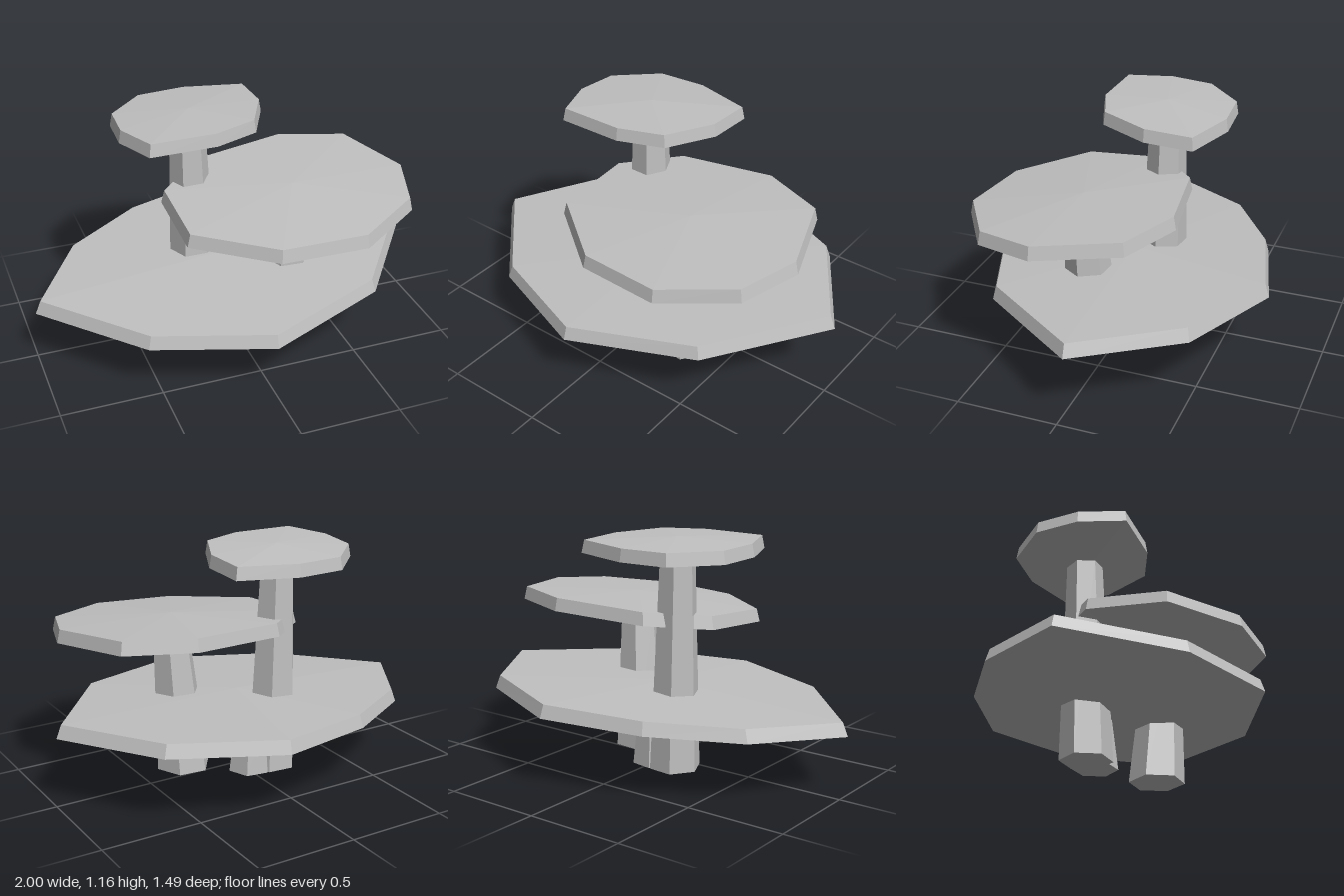
import * as THREE from 'three';

const stone = new THREE.MeshStandardMaterial({ color: 0xc0c0c0, flatShading: true });
stone.name = 'pale grey stone';

function fromPositions(pos) {
  const g = new THREE.BufferGeometry();
  g.setAttribute('position', new THREE.Float32BufferAttribute(pos, 3));
  g.computeVertexNormals();
  return g;
}

// Faceted slab: a tilted rim, a shallow cone below and a faint crown above.
// outline runs clockwise seen from above; rimY gives the lower rim height.
function slab(name, outline, { rimY, rim, inset, center, lowY, highY }) {
  const [cx, cz] = center;
  const low = outline.map(([x, z]) => [x, rimY(x, z), z]);
  const high = outline.map(([x, z]) => [
    cx + (x - cx) * inset, rimY(x, z) + rim, cz + (z - cz) * inset,
  ]);
  const bottom = [cx, lowY, cz], top = [cx, highY, cz];
  const pos = [];
  const tri = (a, b, c) => pos.push(...a, ...b, ...c);
  low.forEach((a, i) => {
    const j = (i + 1) % low.length;
    tri(bottom, a, low[j]);
    tri(low[j], a, high[i]);
    tri(low[j], high[i], high[j]);
    tri(top, high[j], high[i]);
  });
  const mesh = new THREE.Mesh(fromPositions(pos), stone);
  mesh.name = name;
  return mesh;
}

// Tapered, leaning six-sided post; from and to are [x, y, z, radius].
function post(name, from, to, turn) {
  const ring = ([x, y, z, r]) => Array.from({ length: 6 }, (_, i) => {
    const a = turn - i * Math.PI / 3;
    return [x + r * Math.cos(a), y, z + r * Math.sin(a)];
  });
  const low = ring(from), high = ring(to);
  const pos = [];
  const tri = (a, b, c) => pos.push(...a, ...b, ...c);
  for (let i = 0; i < 6; i++) {
    const j = (i + 1) % 6;
    tri(low[i], low[j], high[j]);
    tri(low[i], high[j], high[i]);
    tri(to.slice(0, 3), high[i], high[j]);
    tri(from.slice(0, 3), low[j], low[i]);
  }
  const mesh = new THREE.Mesh(fromPositions(pos), stone);
  mesh.name = name;
  return mesh;
}

export function createModel() {
  const model = new THREE.Group();
  model.name = 'tieredSlabs';

  // Slabs, widest at the bottom
  model.add(slab('lowerSlab', [
    [-1, 0.06], [-0.73, -0.37], [-0.33, -0.62], [0.17, -0.75], [0.69, -0.52],
    [1, -0.04], [0.6, 0.5], [-0.01, 0.74], [-0.57, 0.53],
  ], {
    rimY: (x, z) => 0.325 + 0.035 * x - 0.035 * z,
    rim: 0.065, inset: 0.973, center: [0, 0], lowY: 0.262, highY: 0.41,
  }));
  model.add(slab('middleSlab', [
    [-0.32, 0.36], [-0.32, -0.05], [-0.07, -0.28], [0.42, -0.36], [0.75, -0.235],
    [0.89, 0.16], [0.79, 0.455], [0.46, 0.665], [0.04, 0.635],
  ], {
    rimY: (x, z) => 0.728 + 0.04 * x - 0.07 * z,
    rim: 0.065, inset: 0.975, center: [0.29, 0.15], lowY: 0.666, highY: 0.815,
  }));
  model.add(slab('upperSlab', [
    [-0.525, -0.02], [-0.51, -0.24], [-0.32, -0.43], [-0.07, -0.45], [0.23, -0.37],
    [0.23, -0.13], [0.11, 0.115], [-0.11, 0.2], [-0.44, 0.2],
  ], {
    rimY: (x, z) => 1.093 + 0.01 * x + 0.04 * z,
    rim: 0.063, inset: 0.97, center: [-0.15, -0.12], lowY: 1.035, highY: 1.165,
  }));

  // Posts
  model.add(post('tallPost', [-0.135, 0.01, -0.11, 0.13], [-0.157, 1.06, -0.12, 0.09], 0.09));
  model.add(post('middlePost', [0.25, 0, 0.12, 0.14], [0.29, 0.7, 0.15, 0.096], 0.09));
  model.add(post('shortPost', [-0.01, 0.01, -0.11, 0.112], [-0.015, 0.3, -0.115, 0.083], 0.15));
  return model;
}
